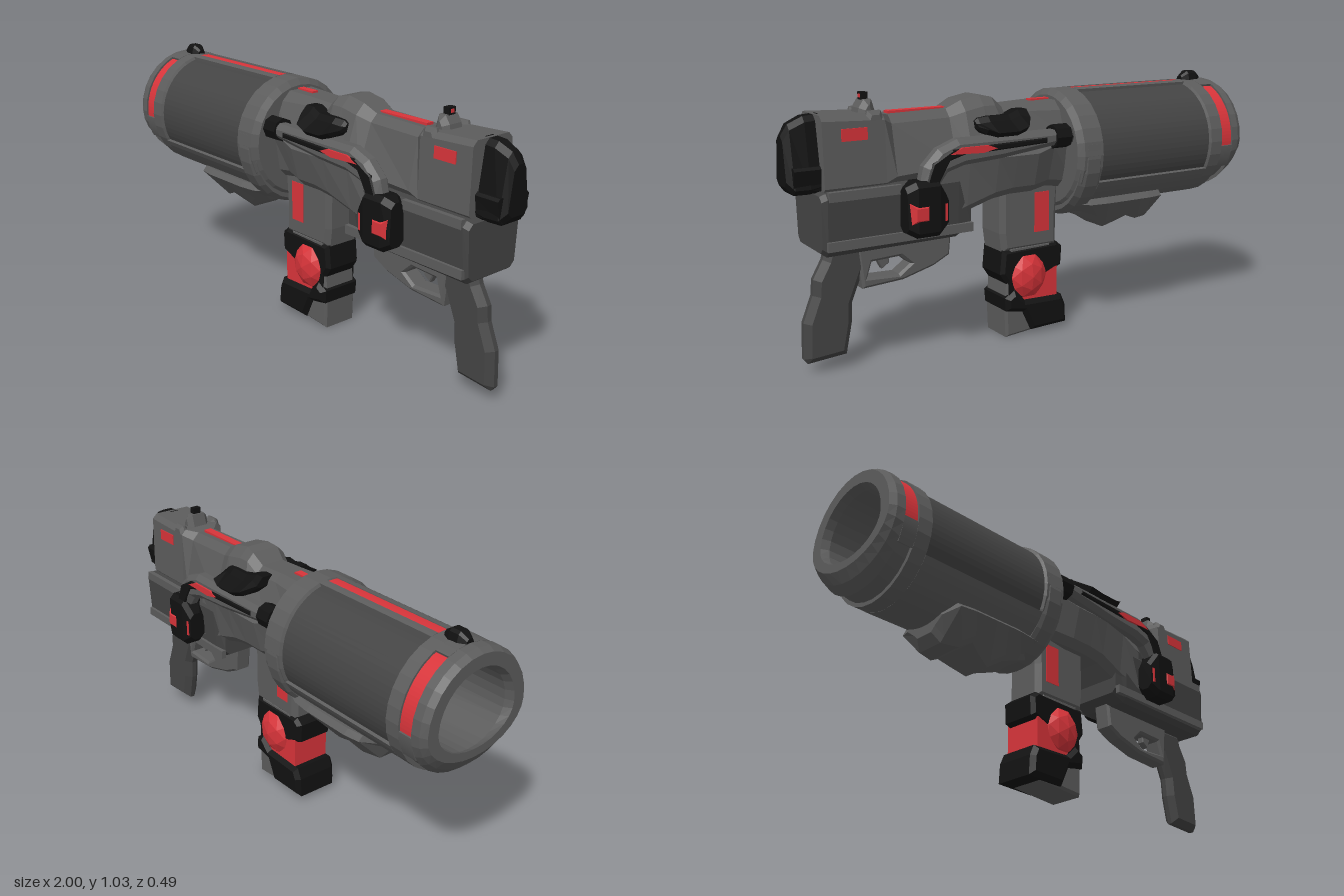
import * as THREE from 'three';

const paint = (color) => new THREE.MeshStandardMaterial({ color, flatShading: true });

export function createModel() {
  const model = new THREE.Group();
  const grey = paint(0x5c5c5c), dark = paint(0x444444), black = paint(0x111111), red = paint(0xd8343a);

  const add = (name, geo, mat, x = 0, y = 0, z = 0) => {
    const mesh = new THREE.Mesh(geo, mat);
    mesh.name = name;
    mesh.position.set(x, y, z);
    model.add(mesh);
  };
  const pair = (name, geo, mat, z, x = 0, y = 0) => {
    add(name + 'Left', geo, mat, x, y, z);
    add(name + 'Right', geo, mat, x, y, -z);
  };
  // box given by its x and y ranges and its depth
  const block = (x0, x1, y0, y1, d) =>
    new THREE.BoxGeometry(x1 - x0, y1 - y0, d).translate((x0 + x1) / 2, (y0 + y1) / 2, 0);

  // side outline extruded to a bevelled slab centred on z = 0
  const slab = (pts, depth, b = 0.015, hole) => {
    const shape = new THREE.Shape(pts.map((p) => new THREE.Vector2(...p)));
    if (hole) shape.holes.push(new THREE.Path(hole.map((p) => new THREE.Vector2(...p))));
    return new THREE.ExtrudeGeometry(shape, {
      depth: depth - 2 * b, bevelEnabled: b > 0, bevelSize: b, bevelThickness: b, bevelOffset: -b, bevelSegments: 1,
    }).translate(0, 0, b - depth / 2);
  };

  // chamfered sections along x: [x, bottom, top, half width at bottom, half width at top, chamfer]
  const loft = (sections) => {
    const rings = sections.map(([x, y0, y1, wb, wt, c = 0.02]) => [
      [x, y1, c - wt], [x, y1, wt - c], [x, y1 - c, wt], [x, y0 + c, wb],
      [x, y0, wb - c], [x, y0, c - wb], [x, y0 + c, -wb], [x, y1 - c, -wt],
    ]);
    const pos = [];
    const tri = (...corners) => corners.forEach((p) => pos.push(...p));
    for (let i = 0; i < rings.length - 1; i++) {
      for (let j = 0; j < 8; j++) {
        const k = (j + 1) % 8, a = rings[i], b = rings[i + 1];
        tri(a[j], a[k], b[k]);
        tri(a[j], b[k], b[j]);
      }
    }
    const first = rings[0], last = rings[rings.length - 1];
    for (let j = 1; j < 7; j++) {
      tri(last[0], last[j], last[j + 1]);
      tri(first[0], first[j + 1], first[j]);
    }
    const geo = new THREE.BufferGeometry();
    geo.setAttribute('position', new THREE.Float32BufferAttribute(pos, 3));
    geo.computeVertexNormals();
    return geo;
  };

  // lathe about the barrel axis; profile points are [radius, distance toward the muzzle]
  const turned = (pts, zScale) =>
    new THREE.LatheGeometry(pts.map((p) => new THREE.Vector2(...p)), 28).rotateZ(Math.PI / 2).scale(1, 1, zScale);

  // curved plate on the barrel between two angles (degrees up from the side)
  const arcPlate = (x0, x1, a0, a1, r1) => {
    const shape = new THREE.Shape();
    const s = (a0 * Math.PI) / 180, e = (a1 * Math.PI) / 180;
    shape.absarc(0, 0, r1, s, e, false);
    shape.absarc(0, 0, 0.22, e, s, true);
    return new THREE.ExtrudeGeometry(shape, { depth: x1 - x0, bevelEnabled: false, curveSegments: 10 })
      .rotateY(Math.PI / 2).translate(x0, 0, 0).scale(1, 1, 0.98);
  };

  // hollow barrel with recesses for panels and stripes; the lower lip of the muzzle is swept back
  const axis = 0.75;
  const barrel = turned([
    [0, 0.13], [0.225, 0.13], [0.25, 0.15], [0.25, 0.24], [0.232, 0.25], [0.232, 0.81], [0.25, 0.82], [0.25, 0.88],
    [0.234, 0.88], [0.234, 0.94], [0.25, 0.94], [0.248, 0.975], [0.234, 1], [0.185, 1], [0.17, 0.97], [0.17, 0.4], [0, 0.4],
  ], 0.98);
  const bp = barrel.attributes.position;
  for (let i = 0; i < bp.count; i++) {
    const t = Math.min(1, Math.max(0, (-0.88 - bp.getX(i)) / 0.12));
    if (bp.getY(i) < 0) bp.setY(i, bp.getY(i) * (1 - 0.34 * t * t));
  }
  add('barrel', barrel, grey, 0, axis);
  add('barrelCollar', turned([[0.2, 0.14], [0.245, 0.14], [0.262, 0.165], [0.262, 0.225], [0.25, 0.24], [0.2, 0.24]], 0.94),
    grey, 0, 0.737);
  add('barrelUnderside', arcPlate(-0.82, -0.24, 208, 332, 0.25), grey, 0, axis);
  add('barrelTopStripe', arcPlate(-0.82, -0.25, 84.5, 95.5, 0.247), red, 0, axis);
  add('muzzleTopBridge', arcPlate(-0.941, -0.879, 67, 113, 0.25), grey, 0, axis);
  for (const [side, at] of [['Left', (a, b) => [180 - b, 180 - a]], ['Right', (a, b) => [a, b]]]) {
    const plate = (name, x0, x1, a, b, r, mat) =>
      add(name + side, arcPlate(x0, x1, ...at(a, b), r), mat, 0, axis);
    plate('barrelPanel', -0.82, -0.24, -28, 77, 0.238, dark);
    plate('barrelRail', -0.82, -0.24, 77, 84.5, 0.25, grey);
    plate('muzzleStripe', -0.94, -0.88, -5, 67, 0.241, red);
    plate('muzzleSideBridge', -0.941, -0.879, -28, -5, 0.248, grey);
  }
  add('frontSight', loft([[-0.94, 0.98, 1.015, 0.02, 0.015, 0.008], [-0.91, 0.98, 1.035, 0.034, 0.025, 0.01],
    [-0.87, 0.98, 1.035, 0.034, 0.025, 0.01], [-0.84, 0.98, 1.015, 0.02, 0.015, 0.008]]), black);

  // rough fore grip below the barrel
  add('foreGrip', loft([[-0.64, 0.46, 0.53, 0.06, 0.1], [-0.61, 0.42, 0.55, 0.08, 0.17], [-0.54, 0.42, 0.55, 0.1, 0.18],
    [-0.49, 0.45, 0.55, 0.12, 0.18], [-0.44, 0.425, 0.55, 0.1, 0.18], [-0.38, 0.4, 0.55, 0.08, 0.18],
    [-0.32, 0.44, 0.55, 0.1, 0.18], [-0.24, 0.47, 0.55, 0.1, 0.17], [-0.16, 0.5, 0.56, 0.09, 0.14]]), grey);

  // receiver: body, top ridge and rear housing
  add('receiverBody', loft([[-0.18, 0.6, 0.86, 0.11, 0.14, 0.03], [-0.06, 0.62, 0.82, 0.12, 0.16, 0.03],
    [0.02, 0.61, 0.8, 0.14, 0.175, 0.03], [0.12, 0.61, 0.8, 0.14, 0.175, 0.03], [0.2, 0.6, 0.8, 0.14, 0.17, 0.03],
    [0.32, 0.56, 0.79, 0.13, 0.155, 0.03], [0.45, 0.52, 0.76, 0.13, 0.13, 0.03]]), grey);
  add('receiverRidge', loft([[-0.18, 0.75, 0.96, 0.14, 0.1, 0.04], [0, 0.75, 0.955, 0.14, 0.08, 0.03],
    [0.12, 0.75, 0.95, 0.15, 0.08, 0.03], [0.17, 0.75, 0.99, 0.15, 0.09, 0.03], [0.22, 0.75, 1.0, 0.15, 0.09, 0.04],
    [0.3, 0.75, 0.985, 0.14, 0.09, 0.04], [0.36, 0.72, 0.955, 0.13, 0.07, 0.03], [0.6, 0.7, 0.95, 0.11, 0.07, 0.03],
    [0.64, 0.69, 0.96, 0.105, 0.1, 0.02], [0.88, 0.69, 0.97, 0.105, 0.1, 0.02]]), grey);
  add('rearHousing', loft([[0.3, 0.5, 0.71, 0.12, 0.12], [0.36, 0.47, 0.71, 0.125, 0.14], [0.885, 0.465, 0.7, 0.125, 0.14],
    [0.905, 0.48, 0.69, 0.12, 0.13]]), dark);
  pair('housingTopRail', block(0.6, 0.88, 0.67, 0.705, 0.02), grey, 0.132);
  pair('housingLowerRail', block(0.3, 0.89, 0.49, 0.525, 0.02), grey, 0.13);
  add('rearCap', loft([[0.86, 0.7, 0.97, 0.075, 0.04], [0.92, 0.69, 0.965, 0.075, 0.04], [0.975, 0.69, 0.94, 0.07, 0.035],
    [1, 0.72, 0.9, 0.05, 0.03]]), black);
  add('rearCapBase', loft([[0.87, 0.69, 0.79, 0.07, 0.08, 0.01], [0.98, 0.7, 0.79, 0.065, 0.08, 0.01]]), black);
  add('ridgeFrontStripe', block(-0.15, -0.04, 0.93, 0.964, 0.03), red);
  add('ridgeRearStripe', block(0.35, 0.59, 0.93, 0.96, 0.034), red);
  pair('rearMark', block(0.71, 0.81, 0.875, 0.92, 0.02), red, 0.095);

  // rear sight on the ridge
  add('rearSightBase', slab([[0.62, 0.93], [0.65, 0.88], [0.7, 0.88], [0.72, 0.93], [0.71, 0.98], [0.69, 1.01], [0.66, 1.01],
    [0.645, 0.96]], 0.1, 0.02), grey);
  pair('rearSightFoot', slab([[0.63, 0.93], [0.65, 0.89], [0.7, 0.89], [0.715, 0.93], [0.7, 0.975], [0.65, 0.975]], 0.04),
    grey, 0.08);
  add('rearSightPost', block(0.667, 0.692, 0.99, 1.035, 0.035), black);
  add('rearSightDot', block(0.67, 0.695, 1.015, 1.028, 0.015), red);

  // side arms with pods, pins and pads
  pair('sideArm', slab([[-0.06, 0.8], [0.2, 0.77], [0.36, 0.76], [0.43, 0.74], [0.47, 0.69], [0.55, 0.69], [0.53, 0.77],
    [0.47, 0.83], [0.39, 0.86], [0.2, 0.86], [-0.06, 0.86]], 0.07, 0.02), grey, 0.165);
  pair('armTrim', slab([[0, 0.815], [0.25, 0.805], [0.36, 0.805], [0.43, 0.785], [0.48, 0.7], [0.53, 0.7], [0.5, 0.78],
    [0.42, 0.825], [0.25, 0.83], [0, 0.835]], 0.03, 0.005), black, 0.19);
  pair('armStripe', slab([[0.23, 0.815], [0.29, 0.803], [0.43, 0.808], [0.38, 0.83], [0.27, 0.83]], 0.02, 0), red, 0.198);
  const rod = (r, length) => new THREE.CylinderGeometry(r, r, length, 8).rotateZ(Math.PI / 2);
  pair('armPin', rod(0.048, 0.07), black, 0.16, -0.08, 0.83);
  pair('armPinRod', rod(0.035, 0.1), dark, 0.16, -0.13, 0.83);
  add('sidePads', loft([[0.04, 0.9, 0.94, 0.14, 0.12, 0.01], [0.08, 0.865, 0.94, 0.195, 0.13], [0.13, 0.85, 0.925, 0.205, 0.14],
    [0.22, 0.85, 0.925, 0.205, 0.14], [0.26, 0.865, 0.92, 0.195, 0.13], [0.275, 0.88, 0.91, 0.15, 0.12, 0.01]]), black);
  pair('sidePod', loft([[0.44, 0.54, 0.66, 0.035, 0.035], [0.48, 0.51, 0.72, 0.05, 0.05], [0.57, 0.51, 0.72, 0.05, 0.05],
    [0.605, 0.53, 0.7, 0.035, 0.03]]), black, 0.168);
  pair('podWindow', slab([[0.508, 0.555], [0.604, 0.555], [0.604, 0.65], [0.508, 0.65]], 0.108, 0.025), red, 0.168);
  pair('podSlot', block(0.448, 0.466, 0.565, 0.63, 0.084), red, 0.168);

  // magazine well and magazine
  add('magazineWell', slab([[-0.13, 0.36], [0.13, 0.36], [0.14, 0.44], [0.14, 0.64], [-0.14, 0.64], [-0.13, 0.5]], 0.17, 0.02), grey);
  pair('wellStripe', block(-0.085, -0.015, 0.43, 0.595, 0.02), red, 0.077);
  add('magazineCore', slab([[-0.13, 0.02], [0.115, 0], [0.12, 0.12], [0.1, 0.38], [-0.1, 0.38], [-0.13, 0.14]], 0.16, 0.01), grey);
  add('magazineUpper', slab([[-0.155, 0.27], [-0.08, 0.24], [0.1, 0.21], [0.14, 0.27], [0.13, 0.37], [-0.13, 0.375], [-0.16, 0.35]],
    0.17), black);
  add('magazineBand', block(-0.13, 0.09, 0.13, 0.27, 0.164), red);
  add('magazineBandRear', block(0.04, 0.105, 0.12, 0.26, 0.168), black);
  add('magazineFoot', slab([[-0.175, 0.02], [0.0, 0.015], [0.04, 0.1], [0.12, 0.115], [0.125, 0.17], [0.08, 0.2], [0.03, 0.15],
    [-0.15, 0.145], [-0.17, 0.1]], 0.2, 0.018), black);
  pair('magazineOrb', new THREE.IcosahedronGeometry(1, 1).scale(0.095, 0.105, 0.065), red, 0.055, 0.01, 0.25);

  // trigger guard, trigger and pistol grip
  add('triggerGuard', slab([[0.34, 0.48], [0.35, 0.38], [0.42, 0.345], [0.55, 0.31], [0.72, 0.3], [0.74, 0.48]], 0.08, 0.01,
    [[0.52, 0.37], [0.56, 0.405], [0.68, 0.4], [0.7, 0.34], [0.57, 0.335]]), grey);
  add('trigger', slab([[0.6, 0.42], [0.66, 0.42], [0.63, 0.36], [0.6, 0.38]], 0.03, 0.004), grey);
  add('pistolGrip', slab([[0.68, 0.48], [0.68, 0.4], [0.71, 0.36], [0.755, 0.25], [0.76, 0.17], [0.785, 0.05], [0.94, 0.04],
    [0.955, 0.06], [0.95, 0.2], [0.91, 0.3], [0.905, 0.36], [0.865, 0.43], [0.85, 0.48]], 0.07, 0.025), dark);

  return model;
}
